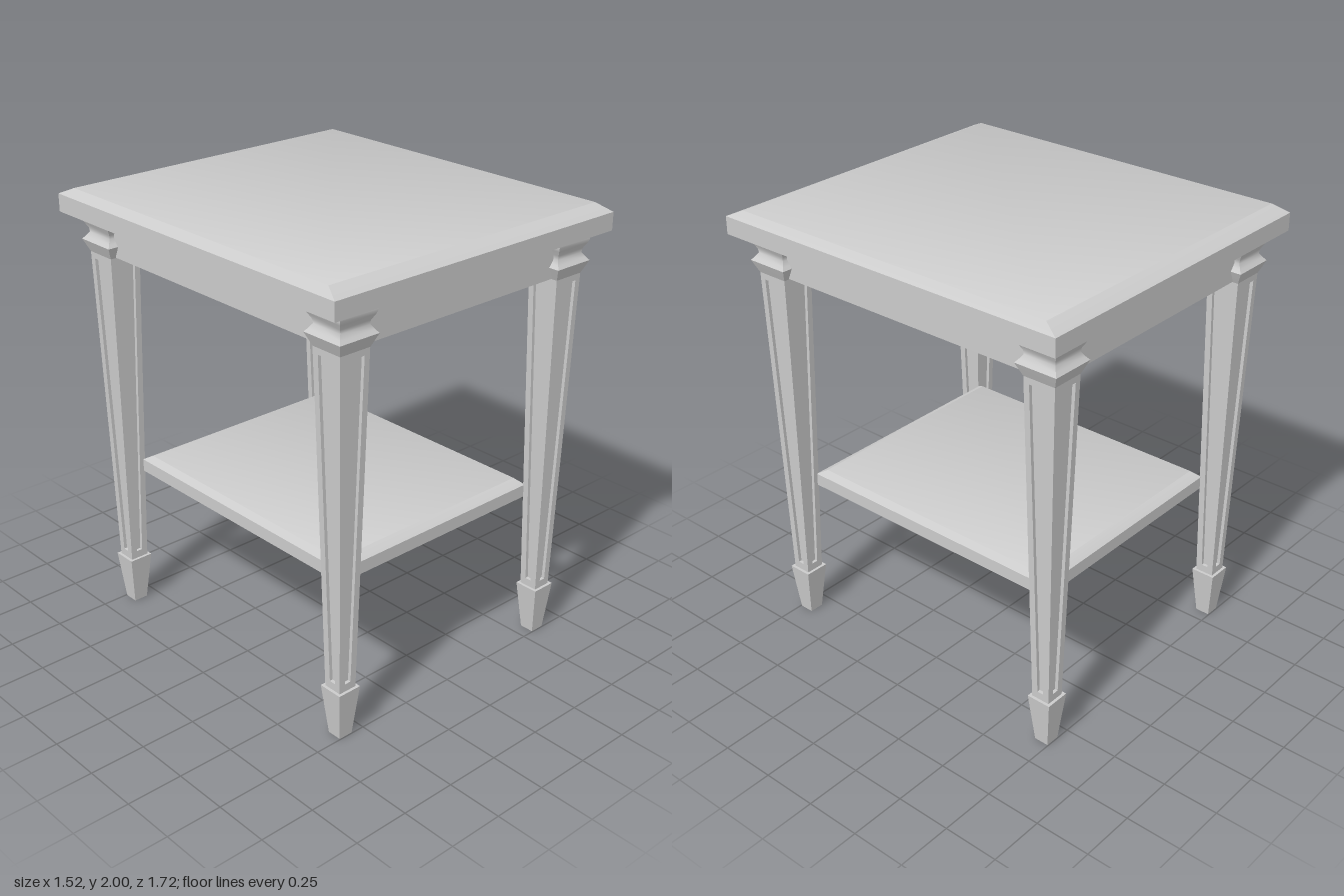
import * as THREE from 'three';
import { mergeGeometries, toCreasedNormals } from 'three/addons/utils/BufferGeometryUtils.js';

const LEG_X = 0.593, LEG_Z = 0.713;
const LEG_LOW = 0.23, LEG_HIGH = 1.715;

// Geometry from a list of four-cornered faces, corners counter-clockwise.
function fromQuads(quads) {
  const positions = [];
  for (const [a, b, c, d] of quads) positions.push(...a, ...b, ...c, ...a, ...c, ...d);
  const geometry = new THREE.BufferGeometry();
  geometry.setAttribute('position', new THREE.Float32BufferAttribute(positions, 3));
  geometry.computeVertexNormals();
  return geometry;
}

// Board whose upper edge slopes inward by bevelX and bevelZ, softly shaded.
function board(halfX, halfZ, bottom, shoulder, top, bevelX, bevelZ) {
  const ring = (x, z, y) => [[-x, y, z], [x, y, z], [x, y, -z], [-x, y, -z]];
  const rings = [
    ring(halfX, halfZ, bottom),
    ring(halfX, halfZ, shoulder),
    ring(halfX - bevelX, halfZ - bevelZ, top),
  ];
  const quads = [[...rings[0]].reverse(), rings[2]];
  for (let r = 0; r < 2; r++) {
    for (let i = 0; i < 4; i++) {
      const j = (i + 1) % 4;
      quads.push([rings[r][i], rings[r][j], rings[r + 1][j], rings[r + 1][i]]);
    }
  }
  return toCreasedNormals(fromQuads(quads), Math.PI / 4);
}

// Square turning: profile of [half width, height] from bottom to top.
function squareTurning(profile) {
  const points = profile.map(([half, y]) => new THREE.Vector2(half * Math.SQRT2, y));
  const geometry = new THREE.LatheGeometry(points, 4, Math.PI / 4).toNonIndexed();
  return toCreasedNormals(geometry, Math.PI / 3);
}

// Tapered square shaft with a sunken panel on each of its four sides.
function panelledShaft() {
  const halfAt = (y) => THREE.MathUtils.mapLinear(y, LEG_LOW, LEG_HIGH, 0.043, 0.074);
  const frame = (low, high, lowHalf, highHalf, depth) => [
    [-lowHalf, low, halfAt(low) - depth],
    [lowHalf, low, halfAt(low) - depth],
    [highHalf, high, halfAt(high) - depth],
    [-highHalf, high, halfAt(high) - depth],
  ];
  const outer = frame(LEG_LOW, LEG_HIGH, halfAt(LEG_LOW), halfAt(LEG_HIGH), 0);
  const rim = frame(0.265, 1.685, 0.015, 0.047, 0);
  const sunk = frame(0.265, 1.685, 0.015, 0.047, 0.015);
  const quads = [sunk];
  for (let i = 0; i < 4; i++) {
    const j = (i + 1) % 4;
    quads.push([outer[i], outer[j], rim[j], rim[i]], [rim[i], rim[j], sunk[j], sunk[i]]);
  }
  const side = fromQuads(quads);
  return mergeGeometries([0, 1, 2, 3].map((k) => side.clone().rotateY(k * Math.PI / 2)));
}

export function createModel() {
  const model = new THREE.Group();
  model.name = 'sideTable';
  const material = new THREE.MeshStandardMaterial({ color: 0xcccccc });
  const add = (parent, name, geometry) => {
    const mesh = new THREE.Mesh(geometry, material);
    mesh.name = name;
    parent.add(mesh);
    return mesh;
  };

  // Table top and lower shelf
  add(model, 'tableTop', board(0.76, 0.86, 1.89, 1.968, 2.0, 0.034, 0.07));
  add(model, 'shelf', board(0.548, 0.662, 0.668, 0.725, 0.75, 0.026, 0.045));

  // Apron rails between the legs
  const railHeight = 0.175, railY = 1.8025, thick = 0.09, shift = 0.005;
  for (const s of [-1, 1]) {
    add(model, s > 0 ? 'frontApron' : 'backApron',
      new THREE.BoxGeometry(2 * LEG_X, railHeight, thick))
      .position.set(0, railY, s * (LEG_Z + shift));
    add(model, s > 0 ? 'leftApron' : 'rightApron',
      new THREE.BoxGeometry(thick, railHeight, 2 * LEG_Z))
      .position.set(s * (LEG_X + shift), railY, 0);
  }

  // Legs: curved capital, panelled shaft and tapered foot
  const capital = squareTurning([
    [0, 1.712], [0.074, 1.712], [0.085, 1.737], [0.098, 1.767], [0.086, 1.781],
    [0.073, 1.8], [0.075, 1.817], [0.088, 1.84], [0.095, 1.858], [0.093, 1.872],
    [0.086, 1.89],
  ]);
  const shaft = panelledShaft();
  const foot = squareTurning([[0, 0], [0.033, 0], [0.056, 0.23], [0, 0.23]]);
  for (const x of [-1, 1]) {
    for (const z of [-1, 1]) {
      const leg = new THREE.Group();
      leg.name = (z > 0 ? 'front' : 'back') + (x > 0 ? 'Left' : 'Right') + 'Leg';
      leg.position.set(x * LEG_X, 0, z * LEG_Z);
      add(leg, 'capital', capital);
      add(leg, 'shaft', shaft);
      add(leg, 'foot', foot);
      model.add(leg);
    }
  }
  return model;
}
